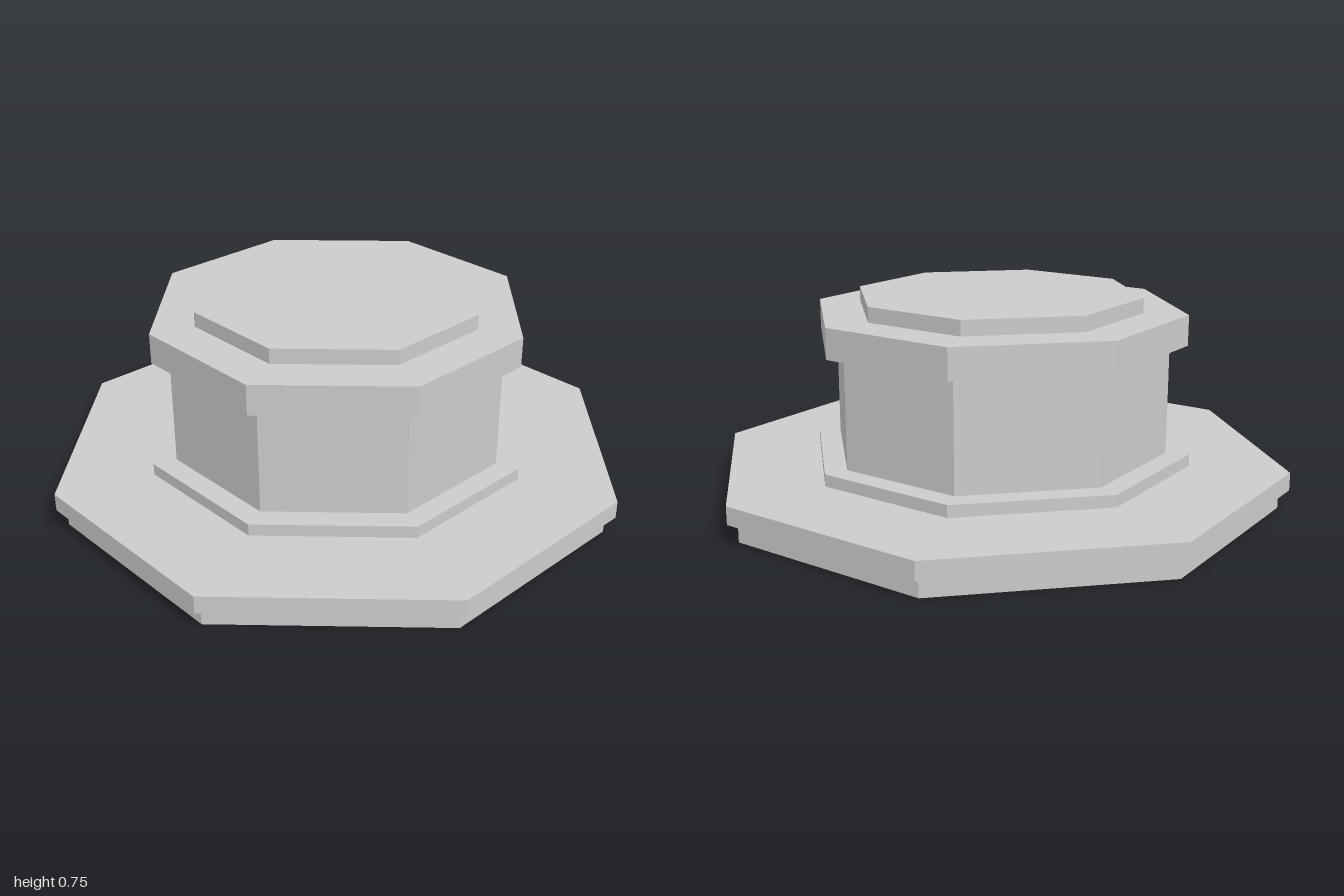
import * as THREE from 'three';

// Eight-sided slab: r is the half width across flats, from height y0 to y1.
function octagonSlab(name, r, y0, y1, material) {
  const c = r * 0.4; // half length of the straight sides
  const shape = new THREE.Shape([
    [r, -c], [r, c], [c, r], [-c, r], [-r, c], [-r, -c], [-c, -r], [c, -r],
  ].map(([x, y]) => new THREE.Vector2(x, y)));
  const geometry = new THREE.ExtrudeGeometry(shape, { depth: y1 - y0, bevelEnabled: false });
  geometry.rotateX(-Math.PI / 2);
  geometry.translate(0, y0, 0);
  const mesh = new THREE.Mesh(geometry, material);
  mesh.name = name;
  return mesh;
}

export function createModel() {
  const group = new THREE.Group();
  group.name = 'octagonalPedestal';
  const material = new THREE.MeshStandardMaterial({ color: 0xcccccc, flatShading: true });

  // Stacked tiers from the ground up: name, half width, bottom, top
  const tiers = [
    ['foot', 0.965, 0, 0.07],
    ['basePlate', 1, 0.07, 0.136],
    ['plinthStep', 0.665, 0.136, 0.18],
    ['column', 0.585, 0.18, 0.584],
    ['capital', 0.645, 0.584, 0.695],
    ['topSlab', 0.495, 0.695, 0.75],
  ];
  for (const [name, r, y0, y1] of tiers) group.add(octagonSlab(name, r, y0, y1, material));
  return group;
}
